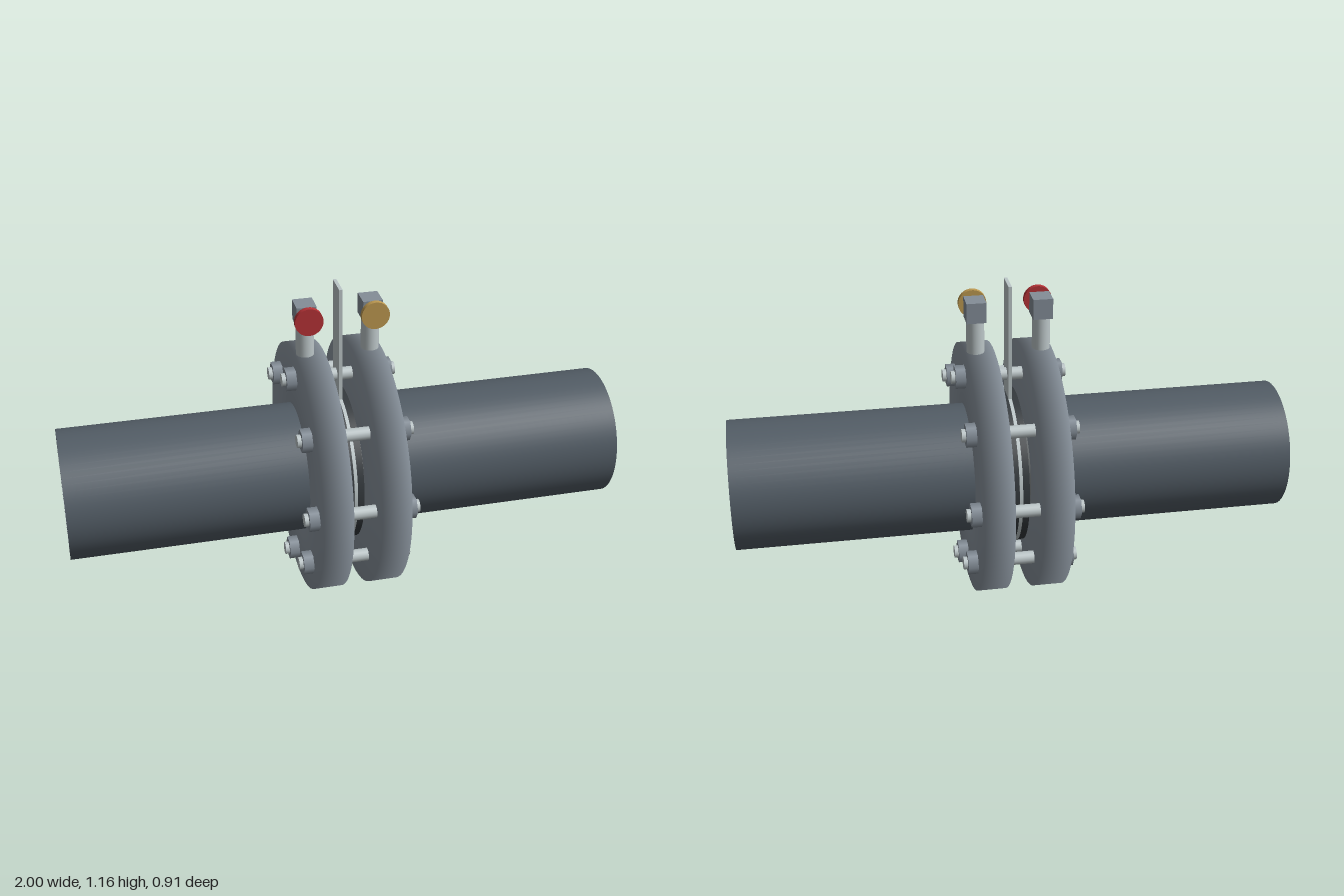
import * as THREE from 'three';

const AXIS_Y = 0.455;

function material(name, color, side = THREE.FrontSide) {
  const m = new THREE.MeshStandardMaterial({ color, side });
  m.name = name;
  return m;
}

// Solid or surface of revolution about the x axis; profile is [radius, x].
// A repeated point gives a sharp edge.
function turned(profile, segments = 64) {
  const points = profile.map(([r, x]) => new THREE.Vector2(r, x));
  return new THREE.LatheGeometry(points, segments).rotateZ(-Math.PI / 2);
}

// Sharp-edged ring between two radii and two x positions
function ring(inner, outer, x0, x1) {
  return turned([
    [inner, x0], [outer, x0], [outer, x0], [outer, x1], [outer, x1],
    [inner, x1], [inner, x1], [inner, x0],
  ]);
}

export function createModel() {
  const pipeGrey = material('dark pipe grey', 0x525c65);
  const flangeGrey = material('flange grey', 0x8a949e);
  const paleSteel = material('pale steel', 0xbcc6c8, THREE.DoubleSide);
  const coneGrey = material('cone grey', 0x8c9294, THREE.DoubleSide);
  const nutGrey = material('nut grey', 0x848e98);
  const gasketBlack = material('gasket black', 0x34393d);
  const red = material('red', 0xb43236);
  const brass = material('brass', 0xbc9850);

  const model = new THREE.Group();
  model.name = 'flangedFlowMeter';

  function add(parent, name, geometry, mat, x = 0, y = 0, z = 0) {
    const mesh = new THREE.Mesh(geometry, mat);
    mesh.name = name;
    mesh.position.set(x, y, z);
    parent.add(mesh);
    return mesh;
  }

  // Everything turned about the pipe axis
  const body = new THREE.Group();
  body.name = 'pipeline';
  body.position.y = AXIS_Y;
  model.add(body);

  // Shared shapes
  const pipe = turned([[0.233, 0.14], [0.233, 1], [0.233, 1], [0.193, 1]]);
  const liner = turned([[0.193, 0.1], [0.193, 1]]);
  // Softly shaded edges
  const flange = turned([
    [0.195, 0.05], [0.455, 0.05], [0.455, 0.155], [0.195, 0.155], [0.195, 0.05],
  ], 96);
  const gasket = ring(0.2, 0.282, 0.006, 0.03);
  const rod = new THREE.CylinderGeometry(0.023, 0.023, 0.41, 20).rotateZ(Math.PI / 2);
  const nut = new THREE.CylinderGeometry(0.042, 0.042, 0.036, 6)
    .toNonIndexed().rotateZ(Math.PI / 2).rotateX(0);

  // Matching halves on each side of the plate
  for (const [name, turn] of [['left', 0], ['right', Math.PI]]) {
    const half = new THREE.Group();
    half.name = name + 'Half';
    half.rotation.y = turn;
    body.add(half);
    add(half, 'pipe', pipe, pipeGrey);
    add(half, 'pipeLiner', liner, paleSteel);
    add(half, 'flange', flange, flangeGrey);
    add(half, 'gasket', gasket, gasketBlack);
  }

  // Metering plate with its upright tab
  add(body, 'orificePlate', ring(0.092, 0.285, -0.006, 0.006), paleSteel);
  add(model, 'plateTab', new THREE.BoxGeometry(0.012, 0.45, 0.094), paleSteel, 0, 0.935, 0);

  // Flow cones leading into and out of the plate
  add(body, 'inletCone', turned([[0.165, -0.09], [0.096, -0.006]]), coneGrey);
  add(body, 'outletCone', turned([[0.096, 0.006], [0.165, 0.13]]), coneGrey);

  // Studs and nuts around the bolt circle
  for (let i = 0; i < 8; i++) {
    const a = (i * Math.PI) / 4;
    const bolt = new THREE.Group();
    bolt.name = 'bolt';
    bolt.position.set(0, 0.36 * Math.cos(a), 0.36 * Math.sin(a));
    add(bolt, 'stud', rod, paleSteel);
    for (const s of [-1, 1]) add(bolt, 'nut', nut, nutGrey, s * 0.173);
    body.add(bolt);
  }

  // Pressure taps with valve blocks and round handles
  const stem = new THREE.CylinderGeometry(0.032, 0.032, 0.16, 24);
  const block = new THREE.BoxGeometry(0.07, 0.074, 0.078);
  const handle = new THREE.CylinderGeometry(0.05, 0.05, 0.018, 32).rotateX(Math.PI / 2);
  for (const [name, x, mat] of [['right', -0.118, red], ['left', 0.116, brass]]) {
    const tap = new THREE.Group();
    tap.name = name + 'Tap';
    tap.position.x = x;
    add(tap, 'tapStem', stem, paleSteel, 0, 0.96, 0);
    add(tap, 'valveBlock', block, nutGrey, 0, 1.066, 0);
    add(tap, 'valveHandle', handle, mat, 0, 1.065, 0.07);
    model.add(tap);
  }

  return model;
}
